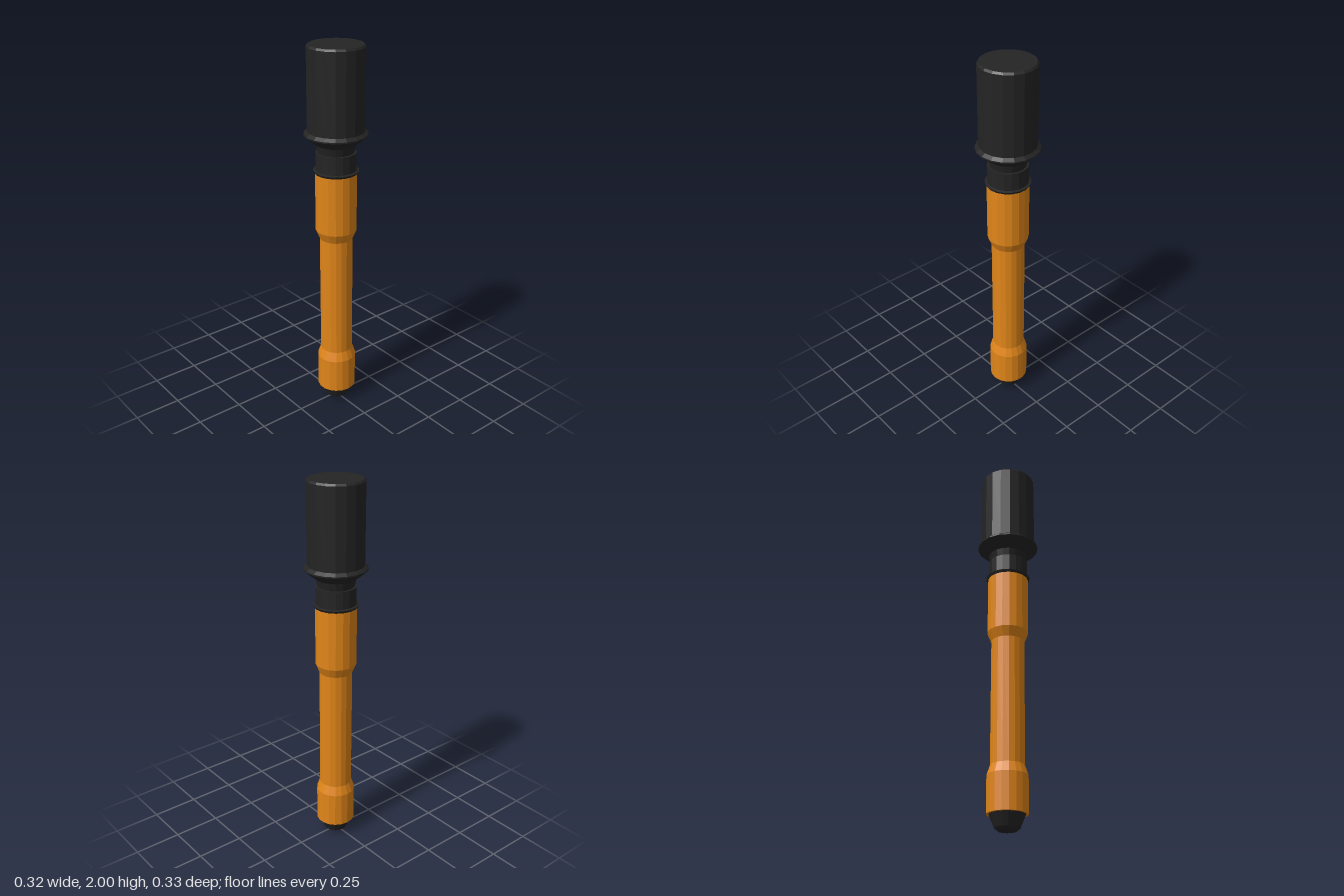
import * as THREE from 'three';

const SIDES = 18;
const black = new THREE.MeshStandardMaterial({ color: 0x242424, flatShading: true });
const orange = new THREE.MeshStandardMaterial({ color: 0xe08519, flatShading: true });

// Faceted turned part; profile is [radius, height] from bottom to top
function turned(name, material, profile) {
  const points = profile.map(([r, y]) => new THREE.Vector2(r, y));
  const mesh = new THREE.Mesh(new THREE.LatheGeometry(points, SIDES), material);
  mesh.name = name;
  return mesh;
}

export function createModel() {
  const model = new THREE.Group();
  model.name = 'stickTool';

  // Handle and its tip lean very slightly
  const grip = new THREE.Group();
  grip.name = 'grip';
  grip.add(
    turned('handle', orange, [
      [0, 0.085], [0.104, 0.085], [0.104, 0.275], [0.087, 0.325],
      [0.087, 0.99], [0.108, 1.04], [0.108, 1.36], [0, 1.36],
    ]),
    turned('endTip', black, [
      [0, 0.005], [0.045, 0.005], [0.064, 0.02], [0.092, 0.088], [0, 0.088],
    ]),
  );
  grip.rotation.z = 0.004;
  grip.position.x = 0.005;
  model.add(grip);

  // Thin ring and threaded collar above the handle
  model.add(
    turned('ring', black, [[0, 1.354], [0.112, 1.354], [0.118, 1.366], [0.105, 1.37], [0, 1.37]]),
    turned('collar', black, [[0.105, 1.365], [0.105, 1.463], [0.096, 1.463], [0, 1.463]]),
    turned('neck', black, [[0.093, 1.46], [0.105, 1.508], [0, 1.508]]),
  );

  // Flared rim and cylindrical head
  model.add(
    turned('rim', black, [[0, 1.505], [0.105, 1.505], [0.164, 1.553], [0.164, 1.56], [0.146, 1.574], [0, 1.574]]),
    turned('head', black, [[0.146, 1.57], [0.146, 1.99], [0.138, 2], [0, 2]]),
  );
  return model;
}
